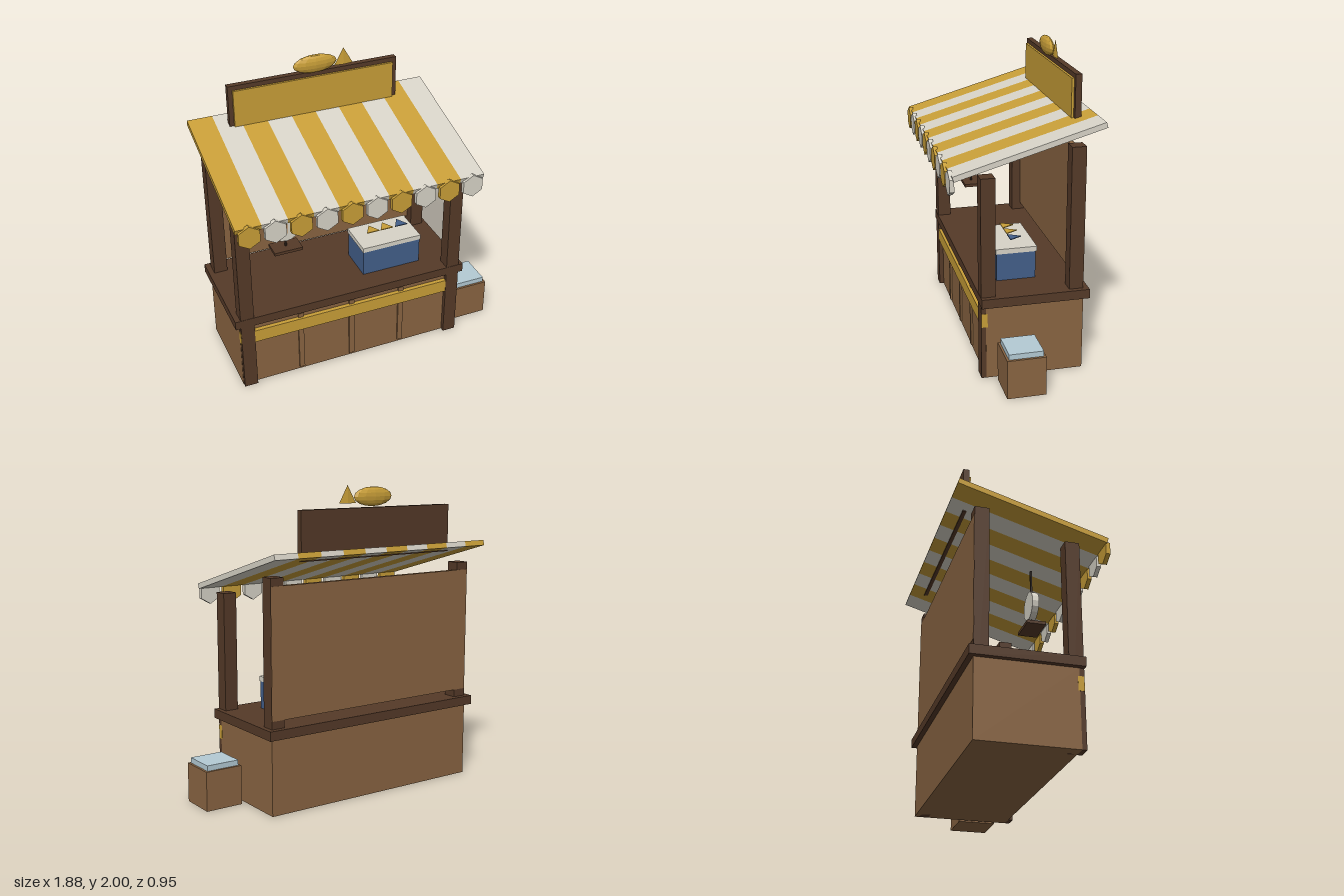
import * as THREE from 'three';

const mat = (name, color, flat = false) => {
  const m = new THREE.MeshStandardMaterial({ color, flatShading: flat });
  m.name = name;
  return m;
};

export function createModel() {
  const darkWood = mat('dark wood', 0x553a28);
  const wood = mat('wood', 0x8a6542);
  const gold = mat('gold', 0xc99f38, true);
  const cream = mat('cream', 0xd8d4c8, true);
  const blue = mat('cooler blue', 0x435f8a);
  const ice = mat('ice', 0xb4cbd5);
  const iron = mat('dark iron', 0x2c2119);
  const copper = mat('copper', 0xa8713c);

  const model = new THREE.Group();
  model.name = 'marketStall';

  const add = (name, geometry, material, x = 0, y = 0, z = 0, parent = model) => {
    const mesh = new THREE.Mesh(geometry, material);
    mesh.name = name;
    mesh.position.set(x, y, z);
    parent.add(mesh);
    return mesh;
  };
  // Box given by its extents on each axis
  const box = (name, material, [x0, x1], [y0, y1], [z0, z1], parent) =>
    add(name, new THREE.BoxGeometry(x1 - x0, y1 - y0, z1 - z0), material,
      (x0 + x1) / 2, (y0 + y1) / 2, (z0 + z1) / 2, parent);

  // Counter
  box('counterBody', wood, [-0.902, 0.656], [0, 0.49], [-0.362, 0.26]);
  box('counterTop', darkWood, [-0.935, 0.687], [0.49, 0.55], [-0.395, 0.292]);
  box('counterBand', gold, [-0.903, 0.657], [0.35, 0.44], [0.25, 0.288]);
  for (const x of [-0.487, -0.127, 0.233])
    box('counterSlat', wood, [x - 0.018, x + 0.018], [0.02, 0.47], [0.25, 0.272]);

  // Posts and back wall
  for (const x of [-0.9, 0.565]) {
    box('frontPost', darkWood, [x, x + 0.09], [0, 1.315], [0.2, 0.29]);
    box('backPost', darkWood, [x, x + 0.09], [0, 1.47], [-0.36, -0.27]);
  }
  box('backPanel', wood, [-0.898, 0.653], [0.6, 1.42], [-0.362, -0.33]);

  // Sloped striped awning with hexagonal scallops
  const awning = new THREE.Group();
  awning.name = 'awning';
  awning.position.set(-0.124, 1.471, -0.005);
  awning.rotation.x = 0.28;
  model.add(awning);
  const stripe = 0.1638;
  for (let i = 0; i < 10; i++) {
    const x = (i - 4.5) * stripe;
    const color = i % 2 ? cream : gold;
    add('awningStripe', new THREE.BoxGeometry(stripe, 0.035, 0.968), color, x, 0, 0, awning);
    const hex = new THREE.CylinderGeometry(0.077, 0.077, 0.028, 6).rotateX(Math.PI / 2);
    add('awningScallop', hex, color, x - 0.124, 1.293, 0.464);
  }

  // Sign board
  box('signBoard', darkWood, [-0.7, 0.453], [1.555, 1.862], [-0.385, -0.345]);
  box('signPlate', gold, [-0.67, 0.423], [1.585, 1.832], [-0.346, -0.33]);

  // Fish ornament above the sign
  const body = add('fishBody', new THREE.SphereGeometry(1, 12, 8), gold, -0.124, 1.926, -0.327);
  body.scale.set(0.148, 0.061, 0.03);
  const tail = add('fishTail', new THREE.ConeGeometry(0.064, 0.112, 4), gold, 0.072, 1.944, -0.327);
  tail.scale.z = 0.12;

  // Hanging scale
  box('scaleRod', iron, [-0.521, -0.509], [0.9, 1.3], [0.098, 0.11]);
  const dial = new THREE.CylinderGeometry(0.093, 0.093, 0.042, 16).rotateX(Math.PI / 2);
  add('scaleDial', dial, cream, -0.515, 1.05, 0.104);
  box('scaleNeedle', copper, [-0.522, -0.508], [1.02, 1.085], [0.124, 0.132]);
  box('scaleTray', darkWood, [-0.61, -0.42], [0.89, 0.91], [0.045, 0.165]);

  // Cooler with small fish laid above its lid
  box('coolerBody', blue, [0.014, 0.427], [0.55, 0.73], [-0.113, 0.139]);
  box('coolerLid', cream, [0.01, 0.431], [0.73, 0.763], [-0.122, 0.145]);
  [[0.13, gold], [0.23, gold], [0.337, blue]].forEach(([x, m]) => {
    const fish = new THREE.CylinderGeometry(0.053, 0.053, 0.006, 3).rotateY(Math.PI);
    add('smallFish', fish, m, x, 0.802, 0.012);
  });

  // Crate of ice beside the counter
  box('crate', wood, [0.69, 0.94], [0, 0.255], [-0.05, 0.195]);
  box('crateIce', ice, [0.705, 0.925], [0.25, 0.29], [-0.036, 0.181]);

  return model;
}
